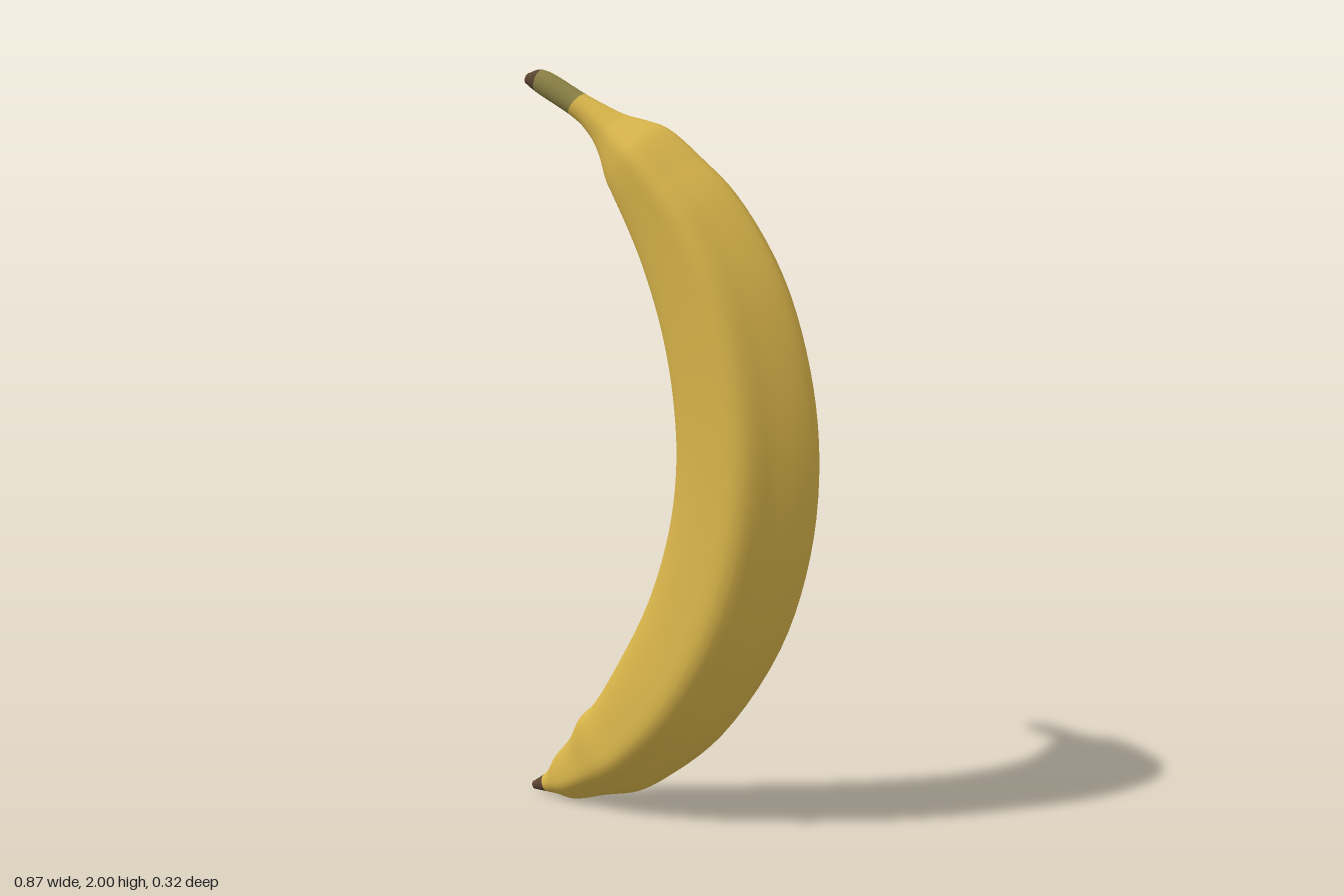
import * as THREE from 'three';

// Stations from stem to blossom end:
// outer x, y, inner x, y, half width, roundness (1 = circle, 0 = ridged section)
const STATIONS = [
  [-0.428, 1.992, -0.437, 1.963, 0.018, 1],
  [-0.388, 2.0, -0.408, 1.942, 0.027, 1],
  [-0.256, 1.934, -0.3, 1.88, 0.034, 1],
  [-0.19, 1.903, -0.235, 1.825, 0.045, 0.7],
  [-0.134, 1.88, -0.2, 1.77, 0.06, 0.4],
  [-0.065, 1.863, -0.172, 1.7, 0.087, 0.2],
  [-0.007, 1.844, -0.147, 1.66, 0.106, 0.1],
  [0.09, 1.77, -0.1, 1.575, 0.121, 0],
  [0.194, 1.675, -0.06, 1.49, 0.132, 0],
  [0.326, 1.474, 0.0, 1.32, 0.146, 0],
  [0.405, 1.235, 0.035, 1.15, 0.155, 0],
  [0.433, 1.0, 0.046, 0.98, 0.16, 0],
  [0.41, 0.75, 0.024, 0.8, 0.162, 0],
  [0.326, 0.495, -0.04, 0.6, 0.16, 0],
  [0.157, 0.246, -0.145, 0.405, 0.148, 0],
  [0.0, 0.114, -0.214, 0.3, 0.126, 0],
  [-0.097, 0.056, -0.265, 0.25, 0.108, 0.1],
  [-0.2, 0.03, -0.3, 0.188, 0.078, 0.2],
  [-0.3, 0.004, -0.35, 0.13, 0.056, 0.4],
  [-0.35, 0.01, -0.375, 0.09, 0.037, 0.7],
  [-0.385, 0.012, -0.4, 0.06, 0.026, 1],
  [-0.43, 0.013, -0.437, 0.034, 0.012, 1],
];

// Half of the ridged section: distance from inner (0) to outer (1) edge, and width
const HALF = [[1, 0], [0.93, 0.28], [0.8, 0.62], [0.68, 0.93], [0.58, 1],
  [0.4, 0.9], [0.2, 0.74], [0.07, 0.56], [0.01, 0.3], [0, 0]];

const SIDES = 54;
const STEPS = 5;

const v3 = (x, y, z) => new THREE.Vector3(x, y, z);
const outer = new THREE.CatmullRomCurve3(STATIONS.map(s => v3(s[0], s[1], s[4])));
const inner = new THREE.CatmullRomCurve3(STATIONS.map(s => v3(s[2], s[3], s[5])));
const mirrored = HALF.slice(1, -1).reverse().map(([u, w]) => [u, -w]);
const section = new THREE.CatmullRomCurve3(
  [...HALF, ...mirrored].map(([u, w]) => v3(u, w, 0)), true);

// Points of the ring at parameter t along the fruit
function ring(t) {
  const o = outer.getPoint(t), i = inner.getPoint(t);
  const round = THREE.MathUtils.clamp(i.z, 0, 1);
  const points = [];
  for (let j = 0; j < SIDES; j++) {
    const p = section.getPoint(j / SIDES);
    const a = (j / SIDES) * Math.PI * 2;
    const u = THREE.MathUtils.lerp(p.x, 0.5 + 0.5 * Math.cos(a), round);
    const w = THREE.MathUtils.lerp(p.y, Math.sin(a), round);
    points.push(v3(i.x + (o.x - i.x) * u, i.y + (o.y - i.y) * u, o.z * w));
  }
  return points;
}

// Skin between two stations, optionally closed by a flat cap
function skin(from, to, capStart, capEnd) {
  const positions = [], index = [];
  const add = p => positions.push(p.x, p.y, p.z) / 3 - 1;
  const rows = (to - from) * STEPS;
  const rings = [];
  for (let r = 0; r <= rows; r++) {
    rings.push(ring((from + r / STEPS) / (STATIONS.length - 1)));
    rings[r].forEach(add);
  }
  for (let r = 0; r < rows; r++) {
    for (let j = 0; j < SIDES; j++) {
      const k = (j + 1) % SIDES;
      const a = r * SIDES + j, b = r * SIDES + k;
      index.push(a, b, a + SIDES, b, b + SIDES, a + SIDES);
    }
  }
  const cap = (points, flip) => {
    const middle = points.reduce((m, p) => m.add(p), v3(0, 0, 0)).divideScalar(SIDES);
    const c = add(middle);
    const rim = points.map(add);
    for (let j = 0; j < SIDES; j++) {
      const k = (j + 1) % SIDES;
      index.push(c, rim[flip ? k : j], rim[flip ? j : k]);
    }
  };
  if (capStart) cap(rings[0], true);
  if (capEnd) cap(rings[rows], false);
  const geometry = new THREE.BufferGeometry();
  geometry.setAttribute('position', new THREE.Float32BufferAttribute(positions, 3));
  geometry.setIndex(index);
  geometry.computeVertexNormals();
  return geometry;
}

function material(name, color) {
  const m = new THREE.MeshStandardMaterial({ color });
  m.name = name;
  return m;
}

export function createModel() {
  const group = new THREE.Group();
  group.name = 'banana';
  const yellow = material('peel yellow', 0xd8b44a);
  const olive = material('stem olive', 0x8c8246);
  const brown = material('tip brown', 0x5c4430);

  const last = STATIONS.length - 1;
  const part = (name, mat, ...range) => {
    const mesh = new THREE.Mesh(skin(...range), mat);
    mesh.name = name;
    group.add(mesh);
  };
  part('stemTip', brown, 0, 1, true, false);
  part('stem', olive, 1, 2, false, false);
  part('peel', yellow, 2, last - 1, false, false);
  part('blossomTip', brown, last - 1, last, false, true);
  return group;
}
